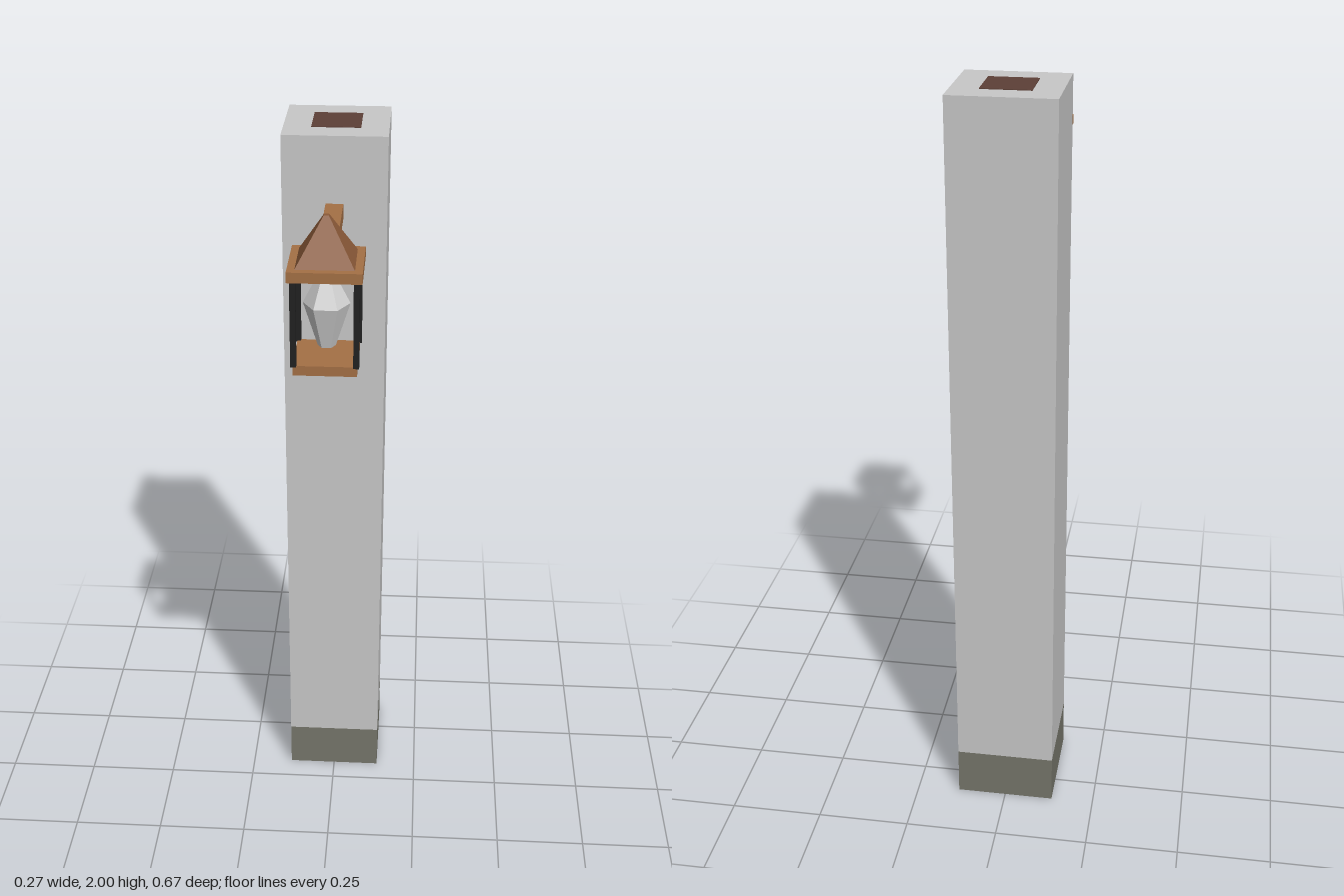
import * as THREE from 'three';

const material = (name, color) => {
  const m = new THREE.MeshStandardMaterial({ color });
  m.name = name;
  return m;
};

export function createModel() {
  const stone = material('pale stone', 0xc8c8c8);
  const mossy = material('dark stone', 0x75756a);
  const darkWood = material('dark wood', 0x5d4037);
  const wood = material('wood', 0xa47045);
  const roofWood = material('roof wood', 0x8b5a38);
  const iron = material('black iron', 0x212121);
  const glass = material('pale crystal', 0xd2d2d2);

  const model = new THREE.Group();
  model.name = 'lanternPost';

  const add = (parent, name, geometry, mat, x = 0, y = 0, z = 0) => {
    const mesh = new THREE.Mesh(geometry, mat);
    mesh.name = name;
    mesh.position.set(x, y, z);
    parent.add(mesh);
    return mesh;
  };
  // Box spanning y0 to y1
  const box = (parent, name, mat, w, y0, y1, d, x = 0, z = 0) =>
    add(parent, name, new THREE.BoxGeometry(w, y1 - y0, d), mat, x, (y0 + y1) / 2, z);
  // Low-poly frustum spanning y0 to y1
  const frustum = (parent, name, mat, rTop, rBottom, y0, y1, sides, turn, open = false) => {
    let g = new THREE.CylinderGeometry(rTop, rBottom, y1 - y0, sides, 1, open).toNonIndexed();
    g.computeVertexNormals();
    g.rotateY(turn);
    return add(parent, name, g, mat, 0, (y0 + y1) / 2, 0);
  };

  // Square post with a darker foot and a wooden core on top
  const postZ = -0.2015;
  box(model, 'postFoot', mossy, 0.267, 0, 0.135, 0.267, 0, postZ);
  box(model, 'post', stone, 0.267, 0.135, 1.998, 0.267, 0, postZ);
  box(model, 'postCore', darkWood, 0.125, 1.994, 2, 0.125, 0, postZ);

  // Arm and its slanted brace
  box(model, 'arm', wood, 0.045, 1.785, 1.825, 0.26, 0, 0.06);
  const profile = new THREE.Shape([
    new THREE.Vector2(0.127, 1.787), new THREE.Vector2(0.045, 1.787),
    new THREE.Vector2(-0.07, 1.685), new THREE.Vector2(-0.07, 1.61),
  ]);
  const braceGeometry = new THREE.ExtrudeGeometry(profile, { depth: 0.04, bevelEnabled: false });
  braceGeometry.rotateY(-Math.PI / 2);
  add(model, 'brace', braceGeometry, wood, 0.02);

  // Lantern: floor, rim, pyramid roof
  const lantern = new THREE.Group();
  lantern.name = 'lantern';
  lantern.position.z = 0.243;
  model.add(lantern);
  box(lantern, 'lanternFloor', wood, 0.154, 1.533, 1.558, 0.154);
  box(lantern, 'roofRim', wood, 0.177, 1.773, 1.799, 0.177);
  frustum(lantern, 'roof', roofWood, 0.006 * Math.SQRT2, 0.07 * Math.SQRT2, 1.799, 1.908, 4, Math.PI / 4);

  // Corner rods
  for (const sx of [-1, 1]) {
    for (const sz of [-1, 1]) {
      box(lantern, 'cornerRod', iron, 0.014, 1.556, 1.775, 0.014, sx * 0.075, sz * 0.075);
    }
  }

  // Six-sided crystal hanging from the roof
  box(lantern, 'hanger', iron, 0.04, 1.756, 1.775, 0.04);
  frustum(lantern, 'crystalTop', glass, 0.022, 0.057, 1.69, 1.758, 6, Math.PI / 2);
  frustum(lantern, 'crystalBottom', glass, 0.057, 0.022, 1.58, 1.69, 6, Math.PI / 2);

  return model;
}
